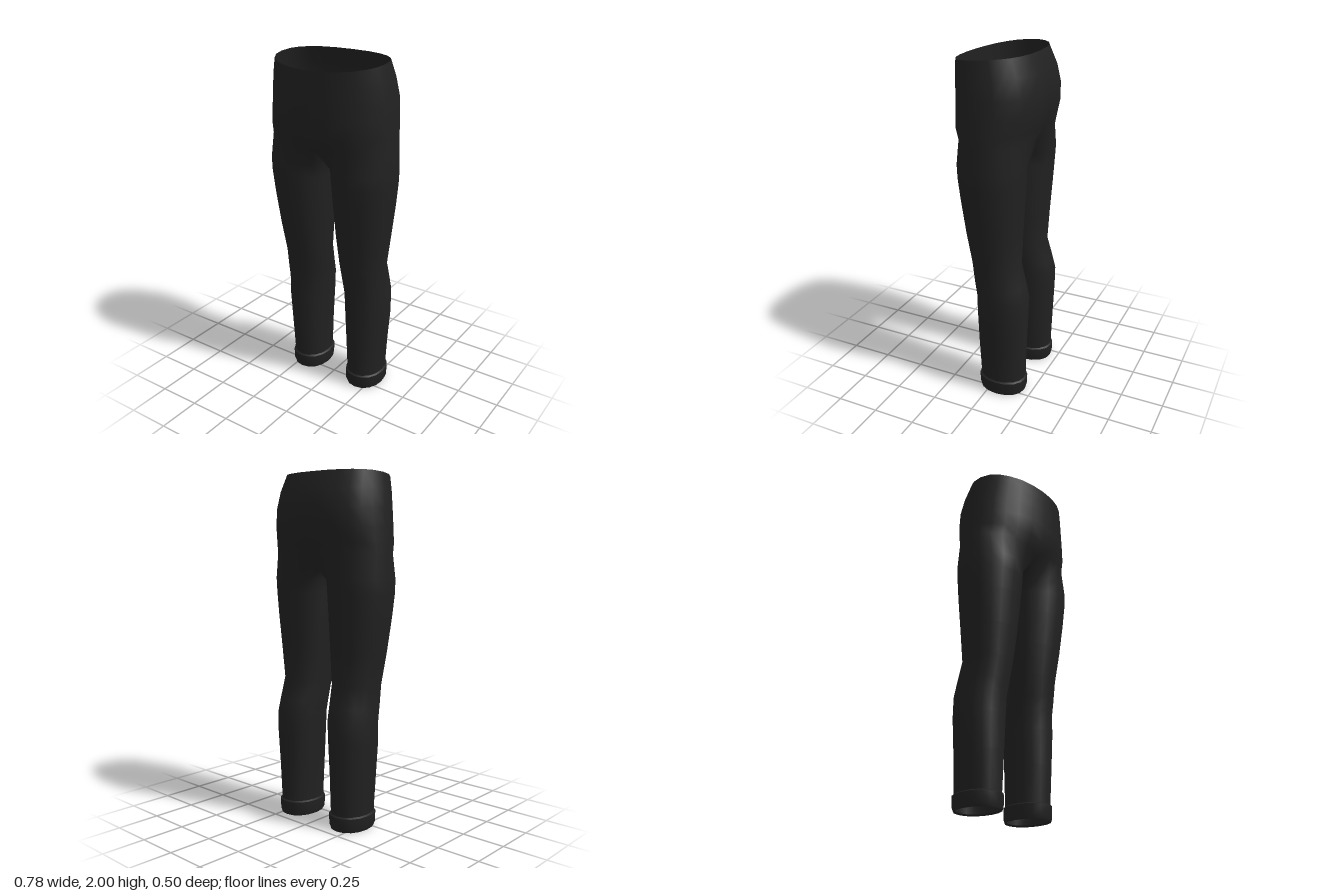
import * as THREE from 'three';
import { mergeVertices, toCreasedNormals } from 'three/addons/utils/BufferGeometryUtils.js';

const OUTER = 13; // points from front to back around the outside of one half
const RING = 16;  // full leg ring, with three more points on the inside

// leg rows: y, inner x, outer x, back z, front z
const LEGS = [
  [0.08, 0.093, 0.308, -0.2, 0.07],
  [0.3, 0.085, 0.32, -0.206, 0.08],
  [0.5, 0.073, 0.335, -0.212, 0.085],
  [0.62, 0.07, 0.331, -0.215, 0.09],
  [0.7, 0.066, 0.328, -0.195, 0.104],
  [0.82, 0.055, 0.325, -0.16, 0.12],
  [1.0, 0.04, 0.35, -0.167, 0.148],
  [1.2, 0.027, 0.375, -0.178, 0.172],
  [1.33, 0.019, 0.387, -0.185, 0.186],
  [1.41, 0.014, 0.389, -0.19, 0.19],
];
// torso rows: y, half width, back z, front z, centre z, crease depth, front drop
const TORSO = [
  [1.55, 0.383, -0.215, 0.225, 0, 0.18, 0],
  [1.61, 0.38, -0.228, 0.247, 0, 0.06, 0],
  [1.7, 0.373, -0.25, 0.25, 0, 0.02, 0],
  [1.8, 0.365, -0.252, 0.25, 0, 0.01, 0],
  [1.9, 0.35, -0.23, 0.25, 0.015, 0, 0.01],
  [2.0, 0.33, -0.183, 0.25, 0.03, 0, 0.042],
];

const rounded = (v, n) => Math.sign(v) * Math.abs(v) ** (2 / n);

function legRing([y, xIn, xOut, zBack, zFront], grow = 0) {
  const cx = (xIn + xOut) / 2, cz = (zBack + zFront) / 2;
  const rx = (xOut - xIn) / 2 + grow, rz = (zFront - zBack) / 2 + grow;
  return Array.from({ length: RING }, (_, i) => {
    const a = -Math.PI / 4 + (i / RING) * Math.PI * 2;
    return [cx + rx * rounded(Math.sin(a), 2.15), y, cz + rz * rounded(Math.cos(a), 2.15)];
  });
}

function torsoRing([y, w, back, front, cz, crease, drop]) {
  return Array.from({ length: OUTER }, (_, i) => {
    const a = (i / (OUTER - 1)) * Math.PI;
    const c = Math.cos(a), n = c > 0 ? 2.1 : 2.4;
    const x = i % (OUTER - 1) ? w * rounded(Math.sin(a), n) : 0;
    const mid = crease * Math.exp(-((x / 0.1) ** 2));
    const z = cz + rounded(c, n) * (c > 0 ? front - cz : cz - back) * (1 - mid);
    const tilt = drop * ((z - back) / (front - back)) ** 2;
    return [x, y - tilt - mid * 0.2, z];
  });
}

// Joins rings from bottom to top; mirrored halves get reversed winding
function addLoft(out, rings, closed, side) {
  for (let r = 0; r + 1 < rings.length; r++) {
    const n = rings[r].length;
    for (let j = 0; j < (closed ? n : n - 1); j++) {
      const k = (j + 1) % n;
      const [a, b, c, d] = [rings[r][j], rings[r][k], rings[r + 1][k], rings[r + 1][j]];
      const quad = side > 0 ? [a, b, c, a, c, d] : [a, c, b, a, d, c];
      for (const p of quad) out.push(p[0] * side, p[1], p[2]);
    }
  }
}

function toGeometry(positions) {
  const g = new THREE.BufferGeometry();
  g.setAttribute('position', new THREE.Float32BufferAttribute(positions, 3));
  const merged = mergeVertices(g, 1e-5);
  merged.computeVertexNormals();
  return merged;
}

export function createModel() {
  const group = new THREE.Group();
  group.name = 'trousers';
  const cloth = new THREE.MeshStandardMaterial({ color: 0x212121, side: THREE.DoubleSide });
  cloth.name = 'black cloth';

  // Crotch ring: lowest torso ring closed by a curve dipping between the legs
  const torso = TORSO.map(torsoRing);
  const hip = torso[0], front = hip[0], back = hip[OUTER - 1];
  const crotch = [0.25, 0.5, 0.75].map((t) => [
    0, 1.46 + 0.1 * (2 * t - 1) ** 2, THREE.MathUtils.lerp(back[2], front[2], t),
  ]);
  const legs = [...LEGS.map((row) => legRing(row)), [...hip, ...crotch]];

  // Seat and legs as one smooth surface
  const body = [];
  for (const side of [1, -1]) {
    addLoft(body, legs, true, side);
    addLoft(body, torso, false, side);
  }
  const bodyMesh = new THREE.Mesh(toGeometry(body), cloth);
  bodyMesh.name = 'seatAndLegs';
  group.add(bodyMesh);

  // Turned-up cuffs: inner wall, hem, outer wall, top edge (y, growth)
  const cuffProfile = [[0.08, -0.006], [0.008, -0.008], [0, 0.002], [0.02, 0.009], [0.082, 0.01], [0.09, -0.001]];
  for (const side of [1, -1]) {
    const cuff = [];
    const rings = cuffProfile.map(([y, grow]) => legRing([y, ...LEGS[0].slice(1)], grow));
    addLoft(cuff, rings, true, side);
    const mesh = new THREE.Mesh(toCreasedNormals(toGeometry(cuff), 0.8), cloth);
    mesh.name = side > 0 ? 'leftCuff' : 'rightCuff';
    group.add(mesh);
  }
  return group;
}
